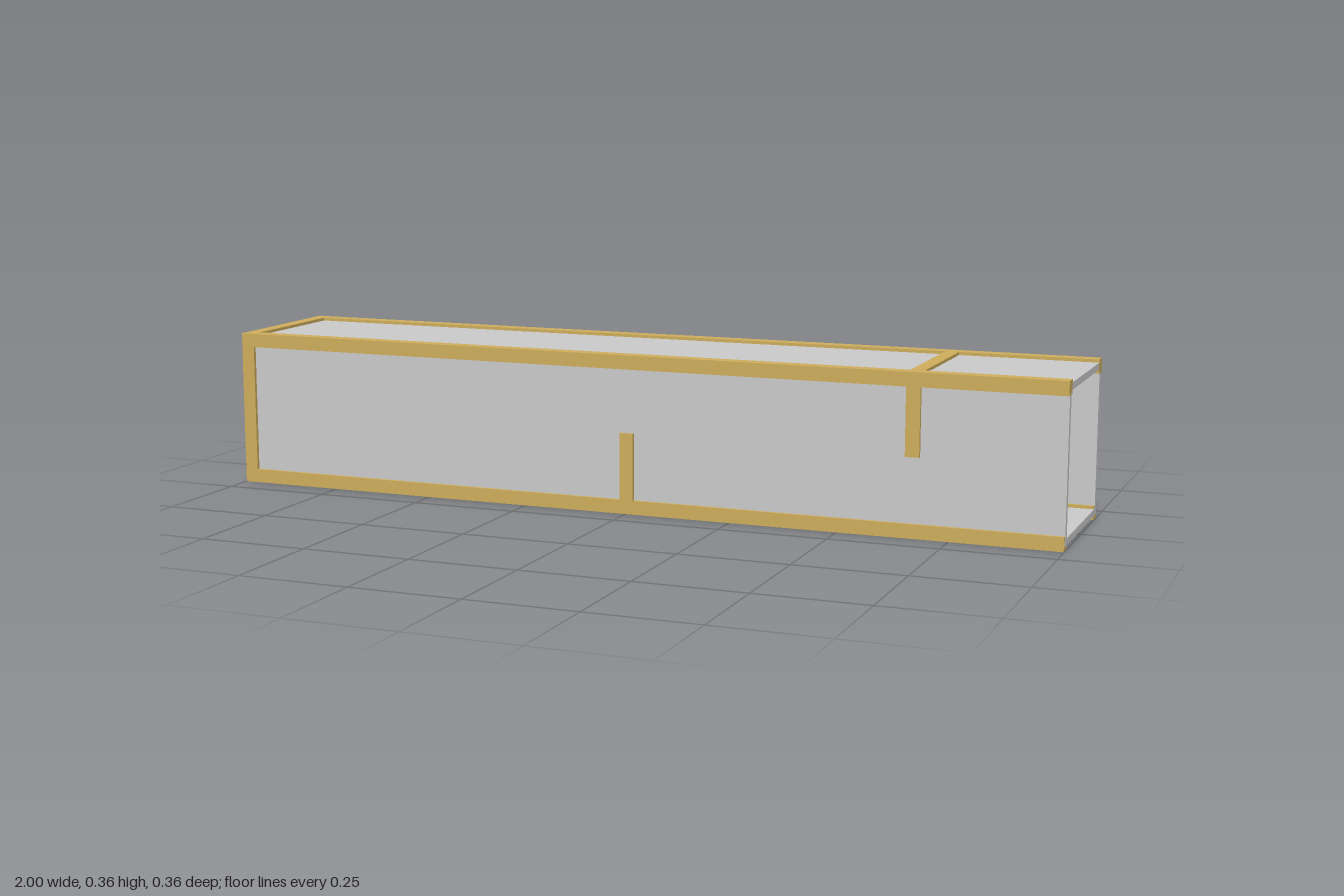
import * as THREE from 'three';

const S = 0.364;      // section of the square tunnel
const H = S / 2;
const T = 0.032;      // timber thickness
const P = 0.016;      // panel thickness
const IN = H - T;     // inner half width between timbers

export function createModel() {
  const model = new THREE.Group();
  const wood = new THREE.MeshStandardMaterial({ color: 0xcfae5c, flatShading: true });
  const grey = new THREE.MeshStandardMaterial({ color: 0xcccccc, flatShading: true });

  // Box given by its min and max corners
  const box = (name, mat, [x0, y0, z0], [x1, y1, z1], parent = model) => {
    const mesh = new THREE.Mesh(new THREE.BoxGeometry(x1 - x0, y1 - y0, z1 - z0), mat);
    mesh.position.set((x0 + x1) / 2, (y0 + y1) / 2, (z0 + z1) / 2);
    mesh.name = name;
    parent.add(mesh);
    return mesh;
  };

  // Long corner rails; the lower ones stop just short so the panel ends show
  for (const s of [-1, 1]) {
    const z0 = s > 0 ? IN : -H, z1 = s > 0 ? H : -IN;
    box('bottomRail', wood, [-1, 0, z0], [0.999, T, z1]);
    box('topRail', wood, [-1, S - T, z0], [1, S, z1]);
    box('endPost', wood, [-1, T, z0], [-1 + T, S - T, z1]);
    // Short posts: one standing at the middle, one hanging near the mouth
    box('lowerPost', wood, [-0.013, T, z0], [0.019, 0.186, z1]);
    box('upperPost', wood, [0.651, 0.179, z0], [0.683, S - T, z1]);
    // Side panel held in the middle of the timber thickness
    const c = s * (H - T / 2);
    box('sidePanel', grey, [-0.99, 0.009, c - P / 2], [1, S - T + 0.004, c + P / 2]);
  }

  // Cross bars
  box('endBottomBar', wood, [-1, 0, -IN], [-1 + T, T, IN]);
  box('endTopBar', wood, [-1, S - T, -IN], [-1 + T, S, IN]);
  box('middleBottomBar', wood, [-0.013, 0, -IN], [0.019, T, IN]);
  box('mouthTopBar', wood, [0.651, S - T, -IN], [0.683, S, IN]);

  // Floor, roof and closed end
  box('floorPanel', grey, [-0.99, 0.009, -0.174], [1, 0.025, 0.174]);
  box('roofPanel', grey, [-0.99, 0.341, -IN - 0.001], [1, 0.357, IN + 0.001]);
  box('endPanel', grey, [-0.992, 0.02, -0.16], [-0.976, 0.345, 0.16]);

  // Half-height inner baffles: grey panel with a thin wooden border
  const baffle = (name, x, y0, y1) => {
    const g = new THREE.Group();
    g.name = name;
    const b = 0.0075, w = IN + b, d = 0.015;
    box('bafflePanel', grey, [x - 0.008, y0 + b, -IN], [x + 0.008, y1 - b, IN], g);
    for (const y of [y0, y1 - b]) box('baffleEdge', wood, [x - d, y, -w], [x + d, y + b, w], g);
    for (const z of [-w, IN]) box('baffleSide', wood, [x - d, y0 + b, z], [x + d, y1 - b, z + b], g);
    model.add(g);
  };
  baffle('lowerBaffle', 0.003, 0.0255, 0.186);
  baffle('upperBaffle', 0.667, 0.179, 0.3405);

  // Low four-sided pad on the floor
  const pad = new THREE.Mesh(new THREE.CylinderGeometry(0.045, 0.07, 0.008, 4), wood);
  pad.position.set(0.3, 0.029, 0);
  pad.name = 'floorPad';
  model.add(pad);

  return model;
}
